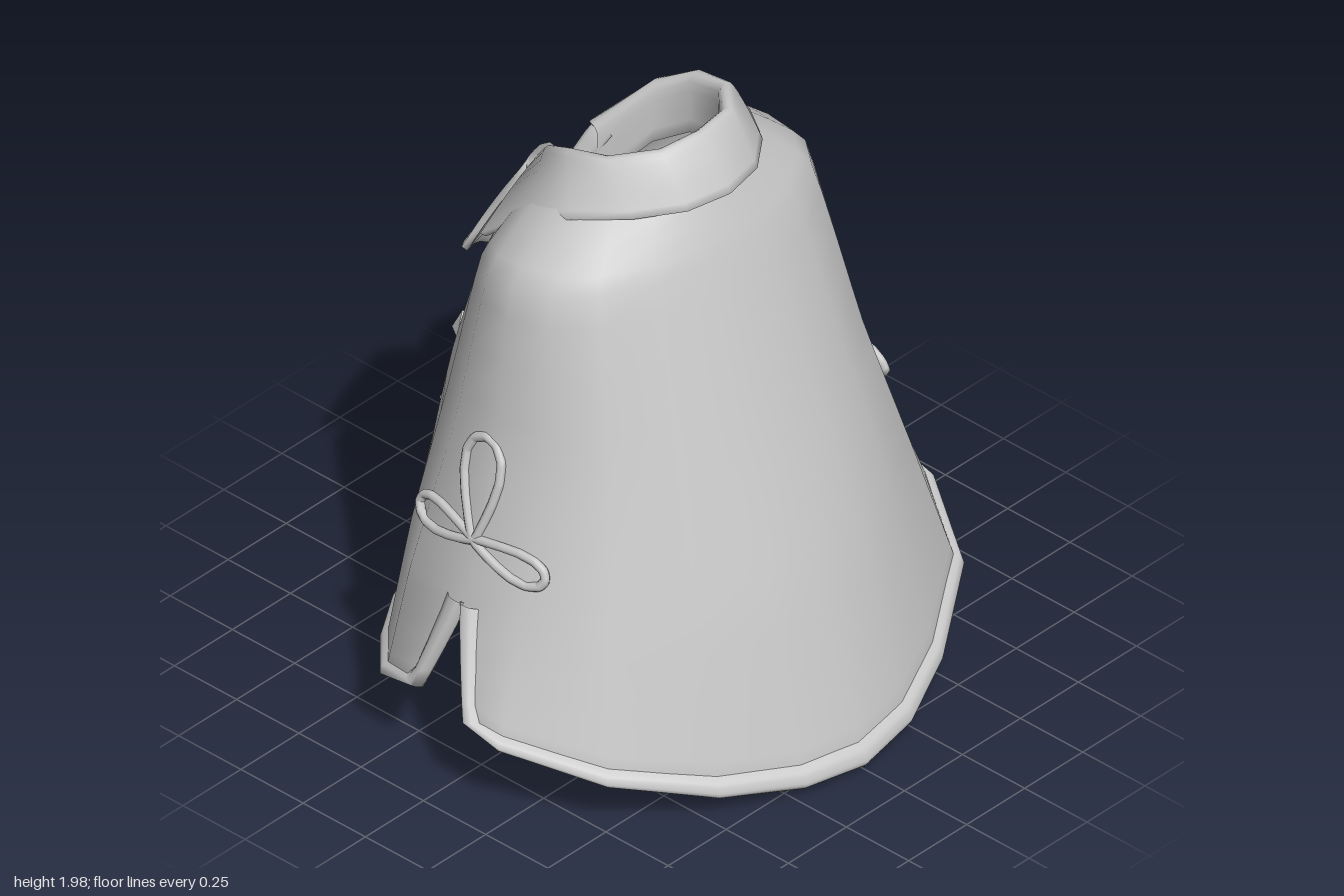
import * as THREE from 'three';
import { mergeVertices } from 'three/addons/utils/BufferGeometryUtils.js';

const ROWS = 16;
const vec = (p) => new THREE.Vector3(...p);
const flip = ([x, y, z]) => [-x, y, z];

// Smooth column through a few control points, sampled evenly per span
const column = (pts, tension = 0.4) => {
  const curve = new THREE.CatmullRomCurve3(pts.map(vec), false, 'catmullrom', tension);
  return Array.from({ length: ROWS + 1 }, (_, j) => curve.getPoint(j / ROWS));
};

// Surface lofted over neighbouring columns; skip leaves gaps between columns
function loft(columns, skip = []) {
  const pos = [], idx = [], n = ROWS + 1;
  columns.forEach((c) => c.forEach((p) => pos.push(p.x, p.y, p.z)));
  for (let i = 0; i < columns.length - 1; i++) {
    if (skip.includes(i)) continue;
    for (let j = 0; j < ROWS; j++) {
      const a = i * n + j, b = a + n;
      idx.push(a, a + 1, b, b, a + 1, b + 1);
    }
  }
  let g = new THREE.BufferGeometry();
  g.setAttribute('position', new THREE.Float32BufferAttribute(pos, 3));
  g.setIndex(idx);
  g = mergeVertices(g, 1e-4);
  g.computeVertexNormals();
  return g;
}

// Gives a surface cloth thickness, closing its open edges
function thicken(g, t) {
  const p = [...g.attributes.position.array], nor = g.attributes.normal.array;
  const n = p.length / 3, tri = [...g.index.array], idx = [...tri], edges = new Set();
  const pos = [...p, ...p.map((v, i) => v - nor[i] * t)];
  const eachEdge = (fn) => tri.forEach((a, i) => fn(a, tri[i % 3 === 2 ? i - 2 : i + 1]));
  eachEdge((a, b) => edges.add(a * n + b));
  for (let i = 0; i < tri.length; i += 3) idx.push(tri[i] + n, tri[i + 2] + n, tri[i + 1] + n);
  eachEdge((a, b) => {
    if (!edges.has(b * n + a)) idx.push(b, a, a + n, b, a + n, b + n);
  });
  const out = new THREE.BufferGeometry();
  out.setAttribute('position', new THREE.Float32BufferAttribute(pos, 3));
  out.setIndex(idx);
  out.computeVertexNormals();
  return out;
}

const tube = (points, r, closed = false) => new THREE.TubeGeometry(
  new THREE.CatmullRomCurve3(points, closed, 'catmullrom', 0.15), points.length * 5, r, 8, closed);

// Soft raised band; each pair is an edge point and a point further in on the cloth
const band = (pairs) => loft(pairs.map(([p, q]) => {
  const out = new THREE.Vector3(p.x, .2, p.z).normalize();
  const at = (t, lift) => p.clone().lerp(q, t).addScaledVector(out, lift).toArray();
  return column([at(.15, -.04), at(-.12, -.012), at(.1, .018), at(.6, .018), at(1, -.004)]);
}));

// Front half-columns, centre to side slit: hem, low, middle, shoulder, neck
const FRONT = [
  [[0, .025, .835], [0, .62, .67], [0, 1.1, .51], [0, 1.64, .33], [0, 1.85, .24]],
  [[.22, .045, .805], [.2, .62, .655], [.17, 1.1, .5], [.14, 1.64, .32], [.1, 1.85, .23]],
  [[.47, .085, .695], [.42, .62, .57], [.36, 1.1, .44], [.3, 1.64, .28], [.2, 1.85, .18]],
  [[.755, .185, .515], [.66, .62, .42], [.54, 1.1, .33], [.46, 1.64, .2], [.27, 1.85, .1]],
  [[.925, .27, .24], [.8, .62, .2], [.645, 1.1, .17], [.55, 1.63, .09], [.31, 1.85, .02]],
  [[.93, .31, .1], [.81, .62, -.02], [.675, 1.1, -.02], [.575, 1.62, -.04], [.32, 1.84, -.05]],
];
// Back half-columns, slit towards the opening
const BACK = [
  [[.885, .3, -.13], ...FRONT[5].slice(1)],
  [[.865, .26, -.28], [.775, .62, -.26], [.65, 1.1, -.2], [.55, 1.6, -.16], [.33, 1.8, -.15]],
  [[.68, .2, -.45], [.6, .62, -.42], [.53, 1.1, -.34], [.46, 1.57, -.27], [.32, 1.74, -.22]],
  [[.46, .13, -.61], [.42, .62, -.54], [.38, 1.1, -.46], [.34, 1.5, -.36], [.25, 1.7, -.29]],
];
// Lower panel, tucked beneath the overlap
const UNDER = [
  [[.22, .08, -.71], [.2, .62, -.63], [.18, 1.1, -.54], [.18, 1.4, -.44], [.14, 1.65, -.34]],
  [[0, .06, -.77], [0, .62, -.66], [0, 1.0, -.58], [0, 1.2, -.52], [0, 1.38, -.46]],
  [[-.15, .07, -.74], [-.15, .62, -.63], [-.15, .9, -.57], [-.14, 1.05, -.52], [-.12, 1.15, -.49]],
];
// Overlapping panel that carries the buttons
const OVER = [
  [[-.22, .05, -.755], [-.2, .62, -.65], [-.19, 1.05, -.56], [-.18, 1.35, -.485], [-.14, 1.65, -.345]],
  [[0, .02, -.835], [0, .5, -.73], [0, .9, -.66], [0, 1.1, -.615], [0, 1.4, -.51]],
  [[.26, .03, -.815], [.23, .4, -.74], [.19, .75, -.685], [.16, 1.0, -.65], [.14, 1.12, -.625]],
];

// Collar: top rim and lower edge of the fold, centre to tip
const RIM = [[0, 1.99, .19], [.15, 1.985, .165], [.27, 1.965, .05], [.285, 1.935, -.09], [.24, 1.865, -.22], [.1, 1.72, -.355]];
const FALL = [[0, 1.825, .3], [.15, 1.825, .27], [.28, 1.815, .17], [.385, 1.795, .02], [.4, 1.735, -.14], [.385, 1.57, -.345]];

// Lapels: fold line and free edge, bottom to notch
const LAPELS = {
  overLapel: {
    fold: [[.14, 1.11, -.63], [.105, 1.3, -.575], [.055, 1.47, -.49], [-.03, 1.62, -.4], [-.08, 1.69, -.365], [-.11, 1.74, -.33]],
    edge: [[.14, 1.09, -.63], [0, 1.2, -.615], [-.16, 1.32, -.555], [-.3, 1.42, -.47], [-.405, 1.5, -.38], [-.21, 1.56, -.405]],
  },
  underLapel: {
    fold: [[-.04, 1.4, -.46], [.01, 1.5, -.43], [.06, 1.61, -.395], [.085, 1.68, -.365], [.11, 1.74, -.33]],
    edge: [[-.02, 1.34, -.48], [.12, 1.4, -.475], [.25, 1.45, -.44], [.39, 1.52, -.37], [.21, 1.57, -.4]],
  },
};

export function createModel() {
  const model = new THREE.Group();
  model.name = 'coat';
  const cloth = new THREE.MeshStandardMaterial({ color: 0xc8c8c8, side: THREE.DoubleSide });
  cloth.name = 'greyCloth';
  const add = (name, geometry, parent = model) => {
    const m = new THREE.Mesh(geometry, cloth);
    m.name = name;
    parent.add(m);
    return m;
  };
  const mirrored = (c) => c.map(flip);

  // Body: one wrap from the tucked panel, round the plain side, to the overlap
  const wrap = [
    ...[...UNDER].reverse(), ...[...BACK].reverse(), ...[...FRONT].reverse(),
    ...FRONT.slice(1).map(mirrored), ...BACK.map(mirrored), ...OVER,
  ].map((c) => column(c, .2));
  const slitA = UNDER.length + BACK.length - 1;
  const slitB = slitA + FRONT.length * 2 - 1;
  add('body', thicken(loft(wrap, [slitA, slitB]), .025));

  // Soft hem band on each panel, running up the side slits
  const inset = (i, j, side) => wrap[i][j].clone().lerp(wrap[i + side][Math.max(j, 1)], j ? .3 : .4);
  const slitPairs = (i, side) => [0, 1, 2, 3, 4].map((j) => [wrap[i][j], inset(i, j, side)]);
  const hemPairs = (a, b) => wrap.slice(a, b).map((c) => [c[0], c[0].clone().lerp(c[1], .65)]);
  add('frontHem', band([...slitPairs(slitA + 1, 1).reverse(), ...hemPairs(slitA + 2, slitB), ...slitPairs(slitB, -1)]));
  add('underHem', band([...hemPairs(0, slitA), ...slitPairs(slitA, -1)]));
  add('overHem', band([...slitPairs(slitB + 1, 1).reverse(), ...hemPairs(slitB + 2, wrap.length)]));

  // Folded collar: lower edge, outer bulge, rim, inner stand
  const half = RIM.map((r, i) => {
    const f = FALL[i];
    const mid = f.map((v, k) => (v + r[k]) / 2 + (k === 1 ? .015 : 0));
    const inner = [r[0] * .86, r[1] - .02, (r[2] + .05) * .87 - .05];
    const base = [r[0] * .84, r[1] - .2, (r[2] + .05) * .88 - .05];
    return [f, mid, r, inner, base];
  });
  const collar = [...[...half].reverse(), ...half.slice(1).map(mirrored)];
  add('collar', thicken(loft(collar.map((c) => column(c))), .02));

  // Pointed lapels, joined to the collar inside the notch
  for (const [name, { fold, edge }] of Object.entries(LAPELS)) {
    const cols = fold.map((f, i) => {
      const at = (t, lift) => edge[i].map((v, k) => v + (f[k] - v) * t - (k === 2 ? lift : 0));
      return column([edge[i], at(.33, .012), at(.66, .015), f, [f[0], f[1] - .05, f[2] + .05]]);
    });
    add(name, thicken(loft(cols), .02));
  }

  // Two columns of faceted studs
  const studs = [[-.18, 1.0, -.595], [-.18, .72, -.645], [-.18, .43, -.7], [.08, 1.0, -.65], [.09, .72, -.7], [.11, .43, -.755]];
  for (const p of studs) {
    const stud = add('button', new THREE.OctahedronGeometry(.06));
    stud.position.set(...p);
    stud.scale.z = .75;
    stud.rotation.set(-.2, p[0] < 0 ? .3 : .1, 0);
  }

  // Three-looped cord knot above each slit, half sunk into the cloth
  const onSide = (s, z, y) => new THREE.Vector3(s * (.806 - .28 * (y - .62) - .5 * z * z), y, z);
  const loops = [[-.03, .31, .095], [.27, -.03, .055], [-.25, 0, .055]];
  for (const s of [1, -1]) {
    const knot = new THREE.Group();
    knot.name = s > 0 ? 'leftKnot' : 'rightKnot';
    model.add(knot);
    for (const [dz, dy, w] of loops) {
      const len = Math.hypot(dz, dy), pts = [];
      for (let k = 0; k < 14; k++) {
        const t = k / 14 * Math.PI * 2;
        const a = (1 - Math.cos(t)) / 2, b = Math.sin(t) * (.25 + a * .85) * w / len;
        pts.push(onSide(s, -.03 + dz * a - dy * b, .81 + dy * a + dz * b));
      }
      add('cordLoop', tube(pts, .015, true), knot);
    }
  }
  return model;
}
